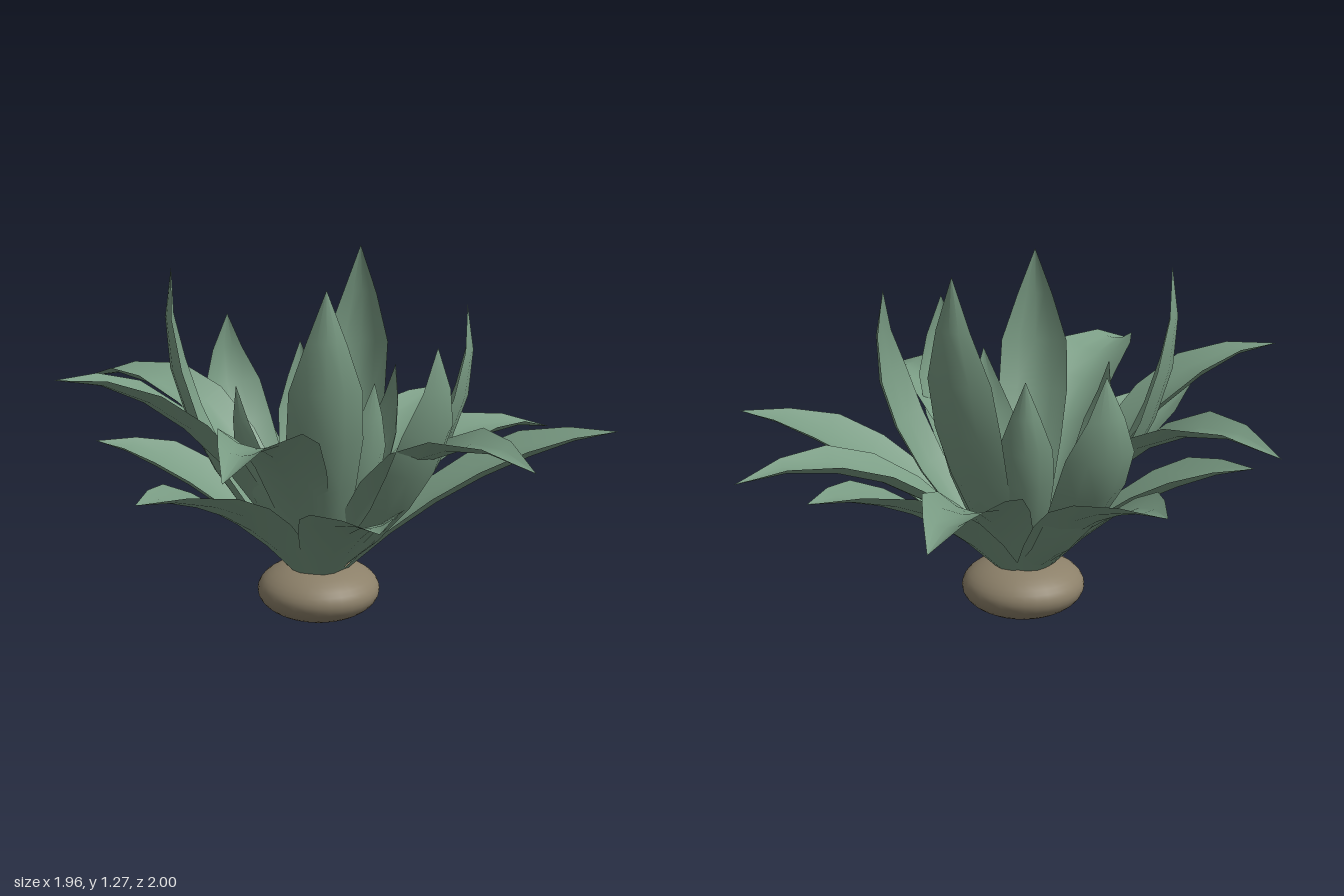
import * as THREE from 'three';

const CX = 0.02, CZ = -0.03; // axis of the plant

const leafMaterial = new THREE.MeshStandardMaterial({ color: 0x7a9c84, side: THREE.DoubleSide });
const bulbMaterial = new THREE.MeshStandardMaterial({ color: 0x8c8069 });

// Relative leaf width from base (0) to tip (1)
const WIDTHS = [0.45, 0.67, 0.87, 1, 0.95, 0.51, 0.005];

// One gutter-shaped leaf that follows a bent midrib from the bulb to its tip.
// bendR and bendY place the bend: share of the reach, and height.
function makeLeaf(name, [x, y, z], { baseR, width, bendR, bendY, cup }) {
  const dir = new THREE.Vector3(x - CX, 0, z - CZ);
  const reach = dir.length();
  dir.normalize();
  const side = new THREE.Vector3(-dir.z, 0, dir.x);
  const at = (r, h) => new THREE.Vector3(CX + dir.x * r, h, CZ + dir.z * r);
  const midrib = new THREE.QuadraticBezierCurve3(
    at(baseR, 0.18), at(reach * bendR, bendY), at(reach, y));

  const rows = WIDTHS.length - 1;
  const geometry = new THREE.PlaneGeometry(1, 1, 4, rows);
  const pos = geometry.attributes.position;
  for (let i = 0; i < pos.count; i++) {
    const u = pos.getX(i) * 2;      // -1 to 1 across
    const t = pos.getY(i) + 0.5;    // 0 to 1 along
    const half = WIDTHS[Math.round(t * rows)] * width / 2;
    const up = side.clone().cross(midrib.getTangent(t));
    const p = midrib.getPoint(t)
      .addScaledVector(side, u * half)
      .addScaledVector(up, (u * u - 0.3) * half * cup);
    pos.setXYZ(i, p.x, p.y, p.z);
  }
  geometry.computeVertexNormals();
  const mesh = new THREE.Mesh(geometry, leafMaterial);
  mesh.name = name;
  return mesh;
}

// Tips of the low, arching, upright and small central leaves
const LOW = [
  [0.16, 0.66, -1.0], [0.98, 0.685, -0.4], [0.55, 0.62, 0.79],
  [-0.16, 0.66, 0.93], [-0.76, 0.61, 0.16], [-0.8, 0.66, -0.55],
];
// Arching leaves: tip, then height of the bend
const ARCHING = [
  [0.64, 0.58, -0.8, 0.74], [0.88, 0.715, 0.33, 0.91], [0.16, 0.78, 1.0, 1.0],
  [-0.63, 0.93, 0.61, 0.93], [-0.98, 0.765, -0.16, 0.97], [-0.26, 0.58, -0.98, 0.74],
];
const UPRIGHT = [
  [0, 1.27, -0.47], [0.2, 1.23, 0.34], [-0.43, 1.25, 0.18],
  [0.5, 1.13, -0.17], [-0.5, 1.0, -0.38], [0.52, 1.05, 0.2],
];
const CENTRAL = [
  [-0.18, 0.93, -0.33], [0.22, 0.89, -0.25], [0.28, 0.9, 0.12], [-0.16, 0.88, 0.25],
];

export function createModel() {
  const group = new THREE.Group();
  group.name = 'succulentPlant';

  // Squashed bulb at the foot
  const bulb = new THREE.Mesh(new THREE.SphereGeometry(0.217, 32, 20), bulbMaterial);
  bulb.name = 'bulb';
  bulb.scale.y = 0.105 / 0.217;
  bulb.position.set(CX, 0.105, CZ);
  group.add(bulb);

  // Low leaves level out, arching ones droop, the others curve upward
  LOW.forEach((tip) => group.add(makeLeaf('lowLeaf', tip,
    { baseR: 0.09, width: 0.31, bendR: 0.55, bendY: tip[1] - 0.03, cup: 0.35 })));
  ARCHING.forEach((tip) => group.add(makeLeaf('archingLeaf', tip,
    { baseR: 0.08, width: 0.28, bendR: 0.49, bendY: tip[3], cup: 0.4 })));
  UPRIGHT.forEach((tip) => group.add(makeLeaf('uprightLeaf', tip,
    { baseR: 0.07, width: 0.25, bendR: 1.2, bendY: tip[1] * 0.6, cup: 0.4 })));
  CENTRAL.forEach((tip) => group.add(makeLeaf('centralLeaf', tip,
    { baseR: 0.06, width: 0.19, bendR: 1.05, bendY: tip[1] * 0.6, cup: 0.45 })));

  return group;
}
